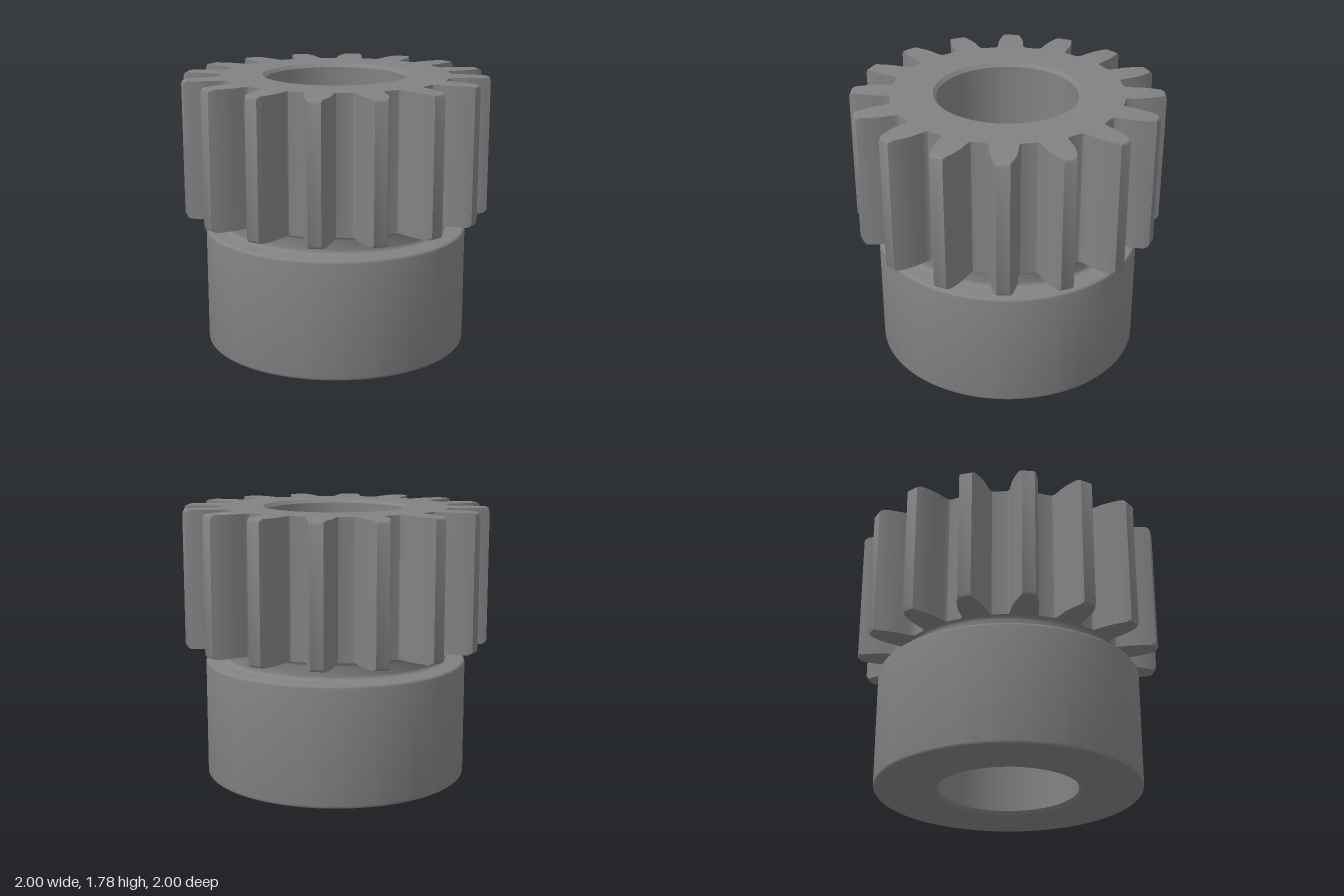
import * as THREE from 'three';
import { toCreasedNormals } from 'three/addons/utils/BufferGeometryUtils.js';

const TEETH = 16;
const BORE = 0.45, BORE_EDGE = 0.472;
const GEAR_BOTTOM = 0.89, TOP = 1.78;

const material = new THREE.MeshStandardMaterial({ color: 0x828282 });

function addMesh(group, name, geometry) {
  const mesh = new THREE.Mesh(toCreasedNormals(geometry, 0.5), material);
  mesh.name = name;
  group.add(mesh);
}

// Quarter-round points about (cx, cy), from angle a to angle b in degrees
function round(cx, cy, r, a, b, n = 4) {
  return Array.from({ length: n + 1 }, (_, i) => {
    const t = THREE.MathUtils.degToRad(a + ((b - a) * i) / n);
    return new THREE.Vector2(cx + r * Math.cos(t), cy + r * Math.sin(t));
  });
}

// Gear outline: one half tooth (radius, half width), mirrored and repeated
function gearShape() {
  const half = [
    [0.737, 0.108], [0.742, 0.096], [0.755, 0.088], [0.782, 0.086],
    [0.85, 0.083], [0.9, 0.074], [0.95, 0.06], [0.977, 0.05], [0.999, 0.041],
  ];
  const tooth = [
    ...half.map(([r, w]) => [r, -w]),
    [1, 0],
    ...half.slice().reverse(),
  ];
  const points = [];
  for (let i = 0; i < TEETH; i++) {
    const a = (i / TEETH) * Math.PI * 2;
    for (const [x, y] of tooth) {
      points.push(new THREE.Vector2(x, y).rotateAround(new THREE.Vector2(), a));
    }
  }
  const shape = new THREE.Shape(points);
  const hole = new THREE.Path();
  hole.absarc(0, 0, BORE_EDGE, 0, Math.PI * 2, true);
  shape.holes.push(hole);
  return shape;
}

// Extruded gear whose tooth tips are rounded over at both ends
function gearGeometry() {
  const h = TOP - GEAR_BOTTOM;
  const levels = [0, 0.008, 0.025, h - 0.025, h - 0.008, h];
  const maxRadius = [0.977, 0.992, 1, 1, 0.992, 0.977];
  const geometry = new THREE.ExtrudeGeometry(gearShape(), {
    depth: 5, steps: 5, bevelEnabled: false, curveSegments: 48,
  });
  const pos = geometry.attributes.position;
  for (let i = 0; i < pos.count; i++) {
    const level = Math.round(pos.getZ(i));
    const x = pos.getX(i), y = pos.getY(i);
    const s = Math.min(1, maxRadius[level] / Math.hypot(x, y));
    pos.setXYZ(i, x * s, y * s, levels[level]);
  }
  geometry.rotateX(-Math.PI / 2);
  geometry.translate(0, GEAR_BOTTOM, 0);
  return geometry;
}

export function createModel() {
  const group = new THREE.Group();
  group.name = 'pinionGear';

  // Toothed upper part
  addMesh(group, 'toothedGear', gearGeometry());

  // Hub with rounded rims and a filleted neck under the teeth
  const hub = [
    new THREE.Vector2(BORE_EDGE, 0),
    ...round(0.84, 0.02, 0.02, -90, 0),
    ...round(0.84, 0.758, 0.02, 0, 90),
    ...round(0.745, 0.803, 0.025, 270, 180),
    ...round(0.745, 0.867, 0.025, 180, 90),
  ];
  addMesh(group, 'hub', new THREE.LatheGeometry(hub, 96));

  // Through bore with chamfered mouths
  const c = BORE_EDGE - BORE;
  const bore = [
    [BORE_EDGE, TOP], [BORE, TOP - c], [BORE, c], [BORE_EDGE, 0],
  ].map(([r, y]) => new THREE.Vector2(r, y));
  addMesh(group, 'bore', new THREE.LatheGeometry(bore, 96));

  return group;
}
